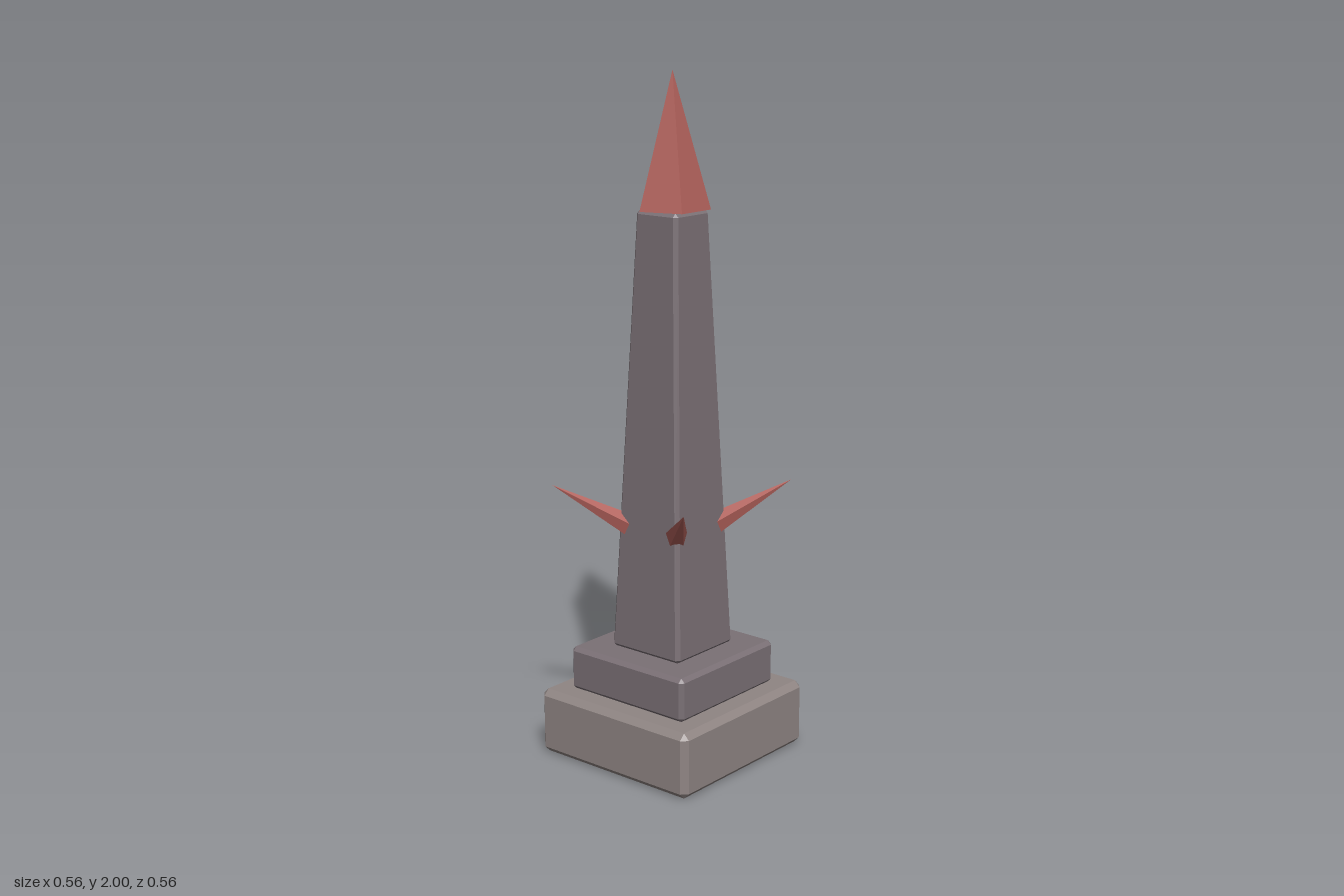
import * as THREE from 'three';
import { ConvexGeometry } from 'three/addons/geometries/ConvexGeometry.js';

const material = (color) => new THREE.MeshStandardMaterial({ color, flatShading: true });

// Square block with every edge chamfered; may taper from bottom to top half-width
function chamferedBlock(halfBottom, halfTop, y0, y1, bevel) {
  const points = [];
  for (const sx of [-1, 1]) for (const sz of [-1, 1]) for (const top of [false, true]) {
    const w = top ? halfTop : halfBottom;
    const y = top ? y1 : y0;
    const yIn = top ? y1 - bevel : y0 + bevel;
    points.push(
      new THREE.Vector3(sx * w, yIn, sz * (w - bevel)),
      new THREE.Vector3(sx * (w - bevel), yIn, sz * w),
      new THREE.Vector3(sx * (w - bevel), y, sz * (w - bevel)),
    );
  }
  return new ConvexGeometry(points);
}

export function createModel() {
  const group = new THREE.Group();
  const paleStone = material(0x8f8583);
  const darkStone = material(0x7a7075);
  const red = material(0xb0605a);

  const add = (name, geometry, mat, parent = group) => {
    const mesh = new THREE.Mesh(geometry, mat);
    mesh.name = name;
    parent.add(mesh);
    return mesh;
  };

  // Stepped plinth and tapering shaft
  add('base', chamferedBlock(0.278, 0.278, 0, 0.197, 0.018), paleStone);
  add('plinth', chamferedBlock(0.213, 0.213, 0.195, 0.327, 0.012), darkStone);
  add('shaft', chamferedBlock(0.127, 0.075, 0.325, 1.615, 0.011), darkStone);

  // Five-sided point, one corner towards the back
  const tip = add('tip', new THREE.ConeGeometry(0.108, 0.385, 5), red);
  tip.position.y = 1.615 + 0.385 / 2;
  tip.rotation.y = Math.PI;

  // Four thorns rising outwards from the shaft corners
  const spikes = new THREE.Group();
  spikes.name = 'spikes';
  group.add(spikes);
  const root = new THREE.Vector3(0, 0.695, 0.125);
  const end = new THREE.Vector3(0, 0.822, 0.348);
  const length = root.distanceTo(end);
  const spikeGeometry = new THREE.ConeGeometry(0.033, length, 5);
  spikeGeometry.rotateY(Math.PI); // ridge on the upper side
  spikeGeometry.translate(0, length / 2, 0);
  spikeGeometry.rotateX(Math.atan2(end.z - root.z, end.y - root.y));
  spikeGeometry.translate(root.x, root.y, root.z);
  for (let i = 0; i < 4; i++) {
    const spike = add('spike', spikeGeometry, red, spikes);
    spike.rotation.y = Math.PI / 4 + i * Math.PI / 2;
  }

  return group;
}
